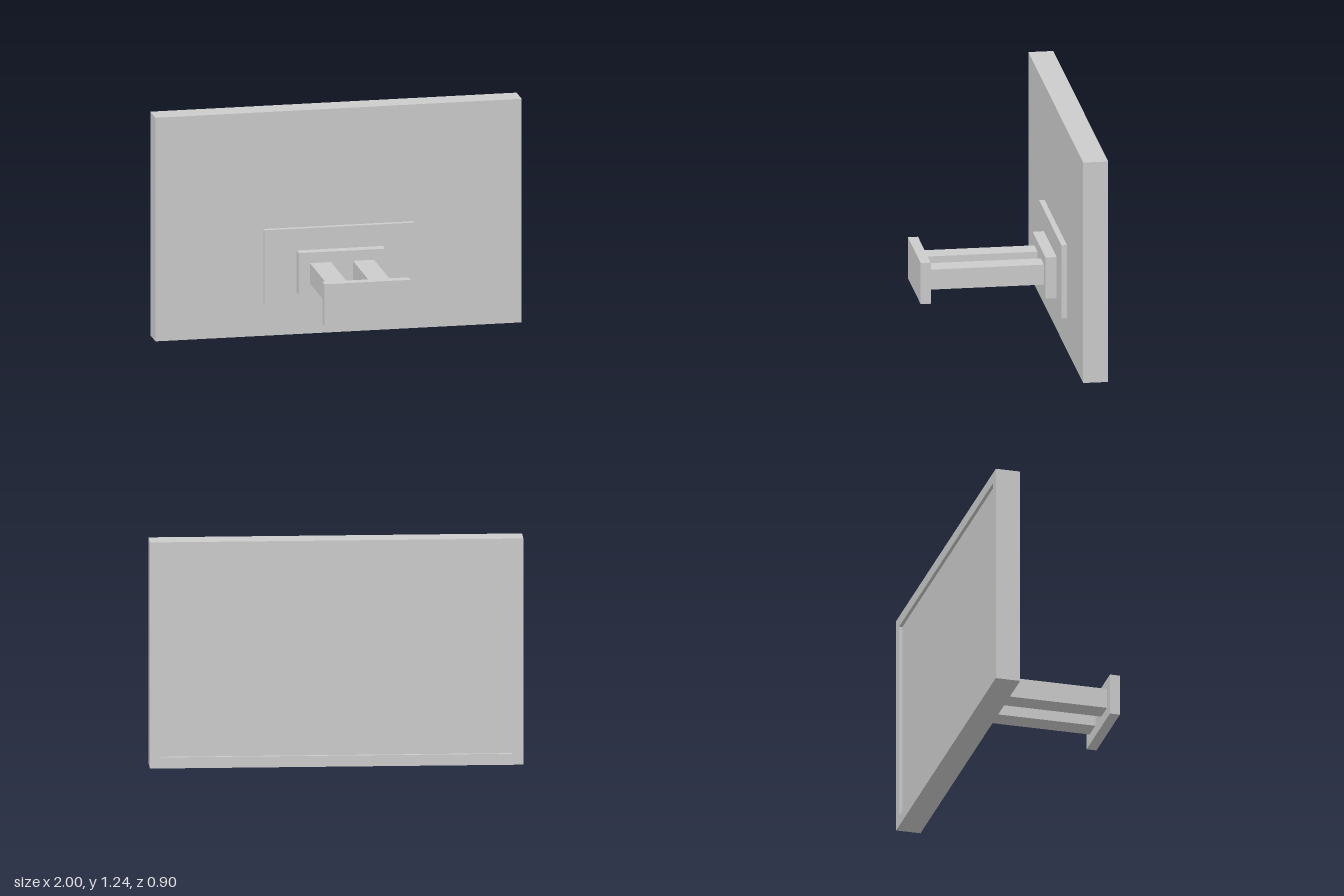
import * as THREE from 'three';

const material = new THREE.MeshStandardMaterial({ color: 0xcccccc, flatShading: true });

// Box given by its lower and upper limits on each axis
function addBox(group, name, [x0, x1], [y0, y1], [z0, z1]) {
  const mesh = new THREE.Mesh(new THREE.BoxGeometry(x1 - x0, y1 - y0, z1 - z0), material);
  mesh.position.set((x0 + x1) / 2, (y0 + y1) / 2, (z0 + z1) / 2);
  mesh.name = name;
  group.add(mesh);
}

// Corner points of a rectangle
const rect = (x0, x1, y0, y1) =>
  [[x0, y0], [x1, y0], [x1, y1], [x0, y1]].map(([x, y]) => new THREE.Vector2(x, y));

export function createModel() {
  const model = new THREE.Group();
  model.name = 'wallMountedScreen';

  const height = 1.235, border = 0.06, recess = 0.018;
  const back = -0.45, front = -0.315;

  // Bezel: a raised rim around the display, which faces -z
  const rim = new THREE.Shape(rect(-1, 1, 0, height));
  rim.holes.push(new THREE.Path(rect(-1 + border, 1 - border, border, height - border)));
  const bezel = new THREE.Mesh(
    new THREE.ExtrudeGeometry(rim, { depth: recess, bevelEnabled: false }), material);
  bezel.position.z = back;
  bezel.name = 'bezel';
  model.add(bezel);

  // Housing, whose -z face is the recessed display
  addBox(model, 'displayHousing', [-1, 1], [0, height], [back + recess, front]);

  // Mounting plates behind the display
  addBox(model, 'mountPlate', [-0.41, 0.41], [0.18, 0.59], [front, -0.285]);
  addBox(model, 'armBracket', [-0.235, 0.235], [0.24, 0.47], [-0.285, -0.225]);

  // Pair of support arms
  addBox(model, 'leftArm', [0.06, 0.175], [0.3, 0.412], [-0.225, 0.395]);
  addBox(model, 'rightArm', [-0.175, -0.06], [0.3, 0.412], [-0.225, 0.395]);

  // Plate that fixes the arms to the wall
  addBox(model, 'wallPlate', [-0.235, 0.235], [0.24, 0.47], [0.395, 0.45]);

  return model;
}
